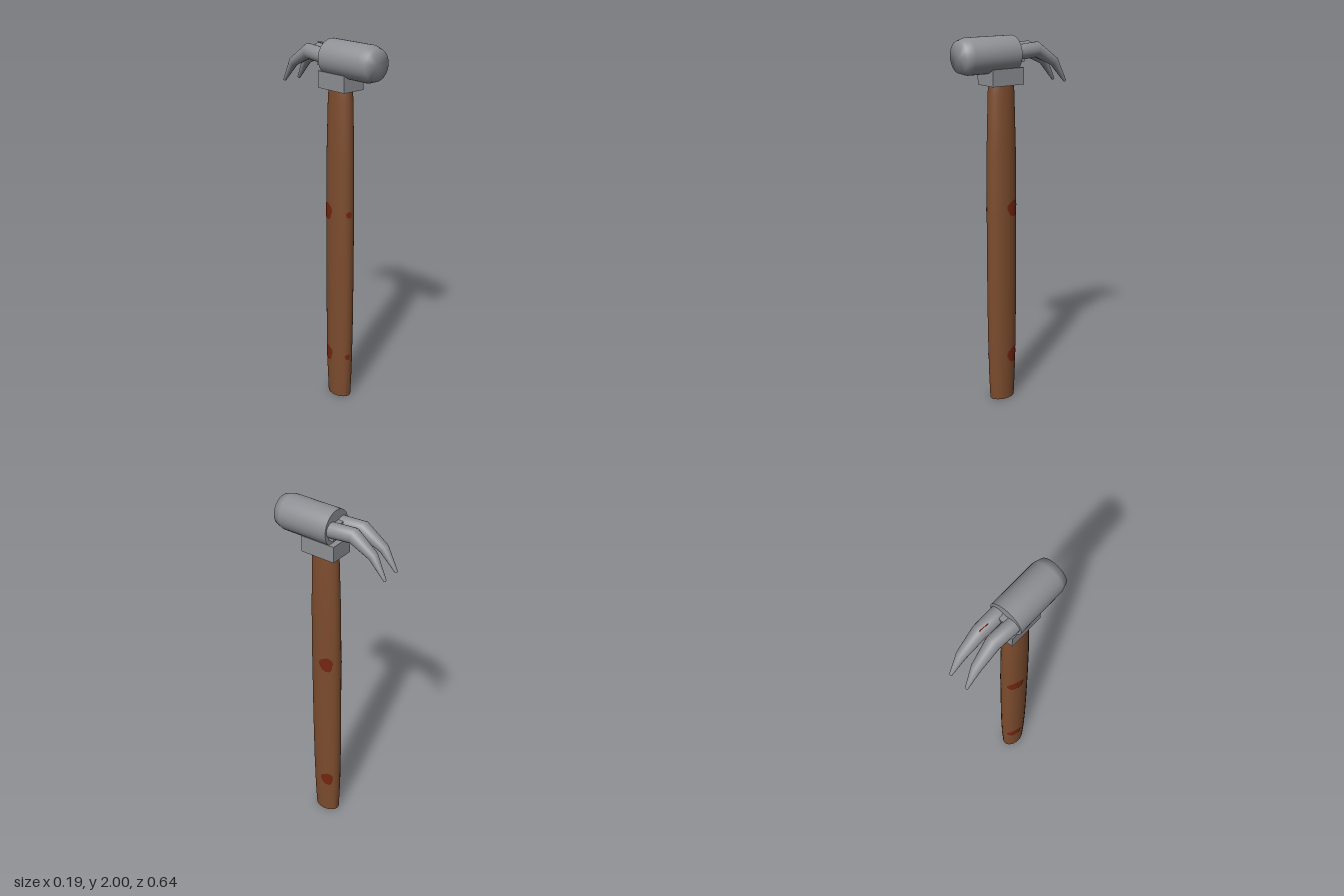
import * as THREE from 'three';
import { toCreasedNormals } from 'three/addons/utils/BufferGeometryUtils.js';

const mat = (name, color, side = THREE.FrontSide) => {
  const m = new THREE.MeshStandardMaterial({ color, side });
  m.name = name;
  return m;
};

// Handle: oval section with half widths A (x) and B (z), centred at z = HZ
const A = 0.06, B = 0.087, HZ = 0.067;
const handleProfile = [[0, 0], [0.84, 0], [0.92, 0.15], [0.98, 0.4], [1, 0.7], [1, 1.1], [0.97, 1.42], [0.87, 1.72], [0.8, 1.76], [0, 1.76]];

function handleScale(y) {
  for (let i = 2; i < handleProfile.length - 1; i++) {
    const [r0, y0] = handleProfile[i - 1], [r1, y1] = handleProfile[i];
    if (y <= y1) return r0 + (r1 - r0) * (y - y0) / (y1 - y0);
  }
  return 0.8;
}

const lathe = (pts, seg, crease) =>
  toCreasedNormals(new THREE.LatheGeometry(pts.map(p => new THREE.Vector2(...p)), seg), crease);

// Skin wrapped over oval rings, each [x, y, z, rx, ry, tilt]
function loft(rings, seg) {
  const pos = [], idx = [];
  rings.forEach(([x, y, z, rx, ry, t]) => {
    for (let j = 0; j < seg; j++) {
      const p = j / seg * Math.PI * 2, s = ry * Math.sin(p);
      pos.push(x + rx * Math.cos(p), y + s * Math.cos(t), z - s * Math.sin(t));
    }
  });
  for (let i = 0; i < rings.length - 1; i++) {
    for (let j = 0; j < seg; j++) {
      const k = (j + 1) % seg, a = i * seg + j, b = a + seg, c = i * seg + k, d = c + seg;
      idx.push(a, b, c, c, b, d);
    }
  }
  const g = new THREE.BufferGeometry();
  g.setAttribute('position', new THREE.Float32BufferAttribute(pos, 3));
  g.setIndex(idx);
  g.computeVertexNormals();
  return g;
}

// Thin irregular patch lying on the handle around angle th
function patch(th, y, dth, dy) {
  const g = new THREE.RingGeometry(0.001, 1, 20, 4);
  const p = g.attributes.position;
  for (let i = 0; i < p.count; i++) {
    const u = p.getX(i), v = p.getY(i), f = Math.atan2(v, u);
    const k = 1 + 0.07 * Math.sin(3 * f + 1) + 0.04 * Math.sin(5 * f);
    const t = th + u * k * dth, yy = y + v * k * dy, r = handleScale(yy);
    p.setXYZ(i, (A * r + 0.002) * Math.cos(t), yy, HZ + (B * r + 0.002) * Math.sin(t));
  }
  g.computeVertexNormals();
  return g;
}

export function createModel() {
  const group = new THREE.Group();
  const steel = mat('steel', 0x8f9095);
  const wood = mat('wood', 0x7c4c2e);
  const rust = mat('rust', 0x742610, THREE.DoubleSide);
  const add = (name, geo, m, x = 0, y = 0, z = 0) => {
    const mesh = new THREE.Mesh(geo, m);
    mesh.name = name;
    mesh.position.set(x, y, z);
    group.add(mesh);
    return mesh;
  };

  // Handle
  const handle = new THREE.LatheGeometry(handleProfile.map(p => new THREE.Vector2(...p)), 32);
  handle.scale(A, 1, B);
  add('handle', toCreasedNormals(handle, 0.7), wood, 0, 0, HZ);

  // Rust spots on both sides and the front of the handle
  for (const y of [1.105, 0.26]) {
    add('leftSpot', patch(-0.44, y, 0.47, 0.045), rust);
    add('rightSpot', patch(Math.PI + 0.55, y, 0.62, 0.045), rust);
    add('frontSpot', patch(Math.PI / 2 + 0.25, y - 0.005, 0.25, 0.018), rust);
  }

  // Striking head with a bevelled face
  const head = lathe([[0, 0], [0.093, 0], [0.093, 0.28], [0.08, 0.322], [0, 0.322]], 40, 1.3);
  head.rotateX(Math.PI / 2);
  add('head', head, steel, 0, 1.907, 0);

  // Neck joining head and handle, and the collar behind the head
  add('neck', new THREE.BoxGeometry(0.134, 0.086, 0.195), steel, 0, 1.797, 0.0675);
  add('collar', new THREE.BoxGeometry(0.134, 0.075, 0.04), steel, 0, 1.906, -0.011);

  // Pair of curved claws
  for (const s of [-1, 1]) {
    const rings = [
      [0.042, 1.912, 0.01, 0.042, 0.04, 0],
      [0.040, 1.923, -0.129, 0.038, 0.04, 0.22],
      [0.045, 1.855, -0.244, 0.026, 0.025, 0.71],
      [0.049, 1.749, -0.316, 0.008, 0.008, 1.0],
      [0.049, 1.746, -0.318, 0.0001, 0.0001, 1.0],
    ].map(r => [r[0] * s, ...r.slice(1)]);
    add(s > 0 ? 'leftClaw' : 'rightClaw', loft(rings, 24), steel);
  }

  // Small rust streak on the left claw
  add('clawStreak', new THREE.BoxGeometry(0.006, 0.004, 0.055), rust, 0.03, 1.957, -0.11).rotation.x = 0.08;

  return group;
}
